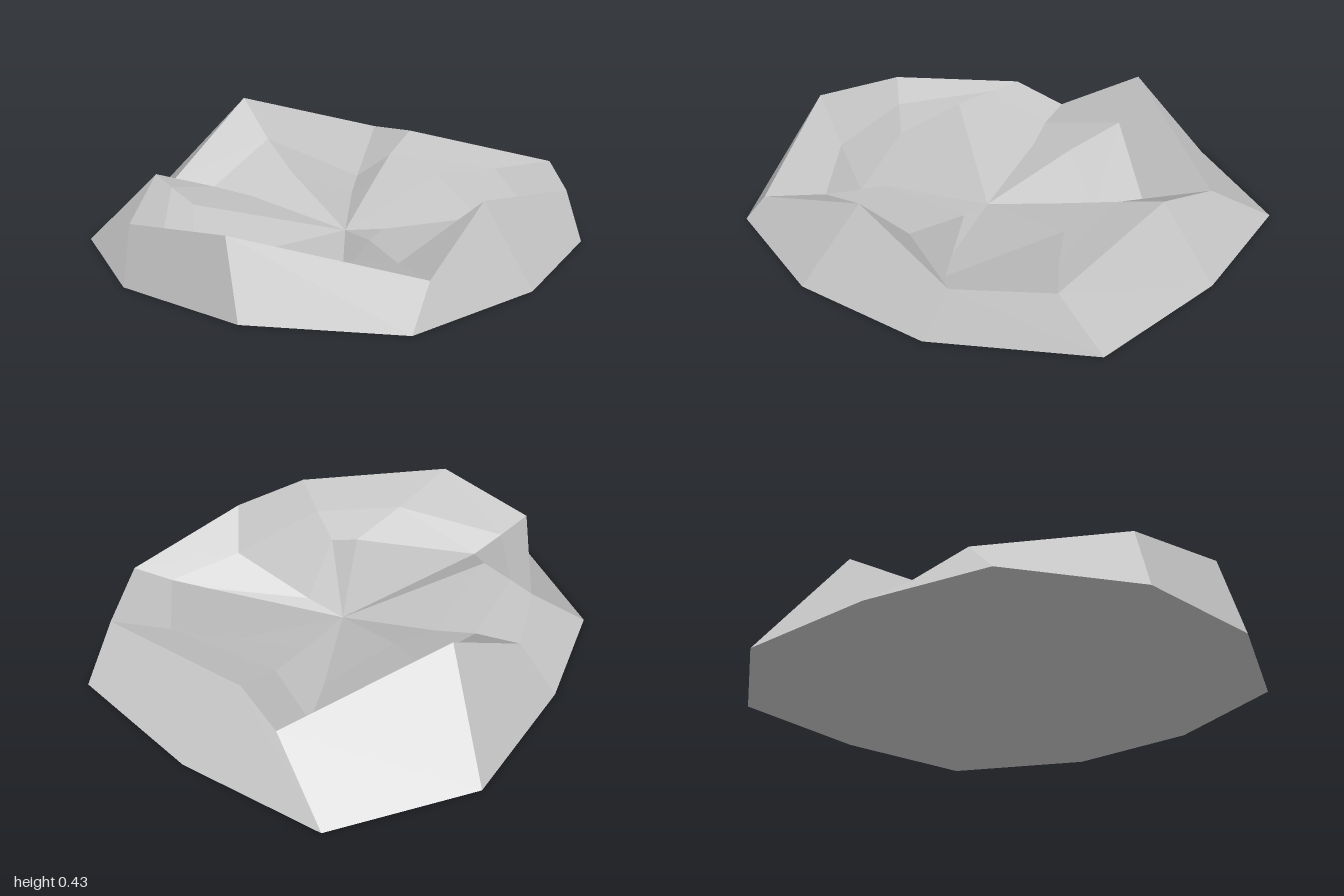
import * as THREE from 'three';

// Cross-section loops, from the ground edge inward; each point is [x, y, z]
const base = [[-0.03, 0, -1], [0.585, 0, -0.935], [0.92, 0, -0.395], [0.965, 0, 0.185], [0.785, 0, 0.745], [0.25, 0, 1],
  [-0.3, 0, 0.985], [-0.765, 0, 0.7], [-0.91, 0, 0.21], [-0.965, 0, -0.4], [-0.64, 0, -0.92]];
const rim = [[-0.09, 0.24, -0.73], [0.615, 0.2, -0.755], [0.825, 0.19, -0.44], [0.72, 0.28, 0.11], [0.775, 0.15, 0.615], [0.165, 0.29, 0.95],
  [-0.305, 0.23, 0.93], [-0.63, 0.235, 0.44], [-0.715, 0.145, 0.235], [-0.675, 0.425, -0.21], [-0.33, 0.21, -0.8]];
const slope = [[-0.08, 0.17, -0.53], [0.42, 0.17, -0.61], [0.73, 0.1, -0.32], [0.6, 0.145, -0.03], [0.57, 0.12, 0.48], [0.26, 0.15, 0.72],
  [-0.23, 0.135, 0.85], [-0.5, 0.215, 0.49], [-0.53, 0.13, 0.19], [-0.54, 0.25, -0.21], [-0.27, 0.03, -0.55]];
const floor = [[-0.03, 0.1, -0.3], [0.2, 0.14, -0.47], [0.64, 0.02, -0.19], [0.23, 0.04, 0.02], [0.36, 0.12, 0.34], [0.35, 0.035, 0.51],
  [-0.15, 0.04, 0.76], [-0.33, 0.19, 0.55], [-0.37, 0.1, 0.13], [-0.33, 0.16, -0.1], [-0.17, 0.02, -0.35]];

// Faceted surface: every triangle or four-sided face gets one flat normal
function facets(name, faces, material) {
  const positions = [];
  const normals = [];
  for (const face of faces) {
    const [a, ...rest] = face.map((p) => new THREE.Vector3(...p));
    const normal = new THREE.Vector3();
    const corners = [];
    for (let k = 0; k + 1 < rest.length; k++) {
      const [b, c] = [rest[k], rest[k + 1]];
      normal.add(b.clone().sub(a).cross(c.clone().sub(a)));
      corners.push(a, b, c);
    }
    normal.normalize();
    for (const p of corners) {
      positions.push(...p.toArray());
      normals.push(...normal.toArray());
    }
  }
  const geometry = new THREE.BufferGeometry();
  geometry.setAttribute('position', new THREE.Float32BufferAttribute(positions, 3));
  geometry.setAttribute('normal', new THREE.Float32BufferAttribute(normals, 3));
  const mesh = new THREE.Mesh(geometry, material);
  mesh.name = name;
  return mesh;
}

// Band of four-sided faces joining an outer loop to the next inner loop
function band(outer, inner) {
  return outer.map((a, i) => {
    const j = (i + 1) % outer.length;
    return [a, inner[i], inner[j], outer[j]];
  });
}

// Fan joining a loop to a centre point
function fan(loop, centre, up) {
  return loop.map((a, i) => {
    const b = loop[(i + 1) % loop.length];
    return up ? [a, centre, b] : [centre, a, b];
  });
}

export function createModel() {
  const stone = new THREE.MeshStandardMaterial({ color: 0xc4c4c4 });
  stone.name = 'pale grey stone';

  const crater = new THREE.Group();
  crater.name = 'crater';
  crater.add(
    facets('outerSlope', band(base, rim), stone),
    facets('innerWall', [...band(rim, slope), ...band(slope, floor)], stone),
    facets('craterFloor', fan(floor, [0.055, 0.005, 0.045], true), stone),
    facets('underside', fan(base, [0, 0, 0], false), stone),
  );
  return crater;
}
